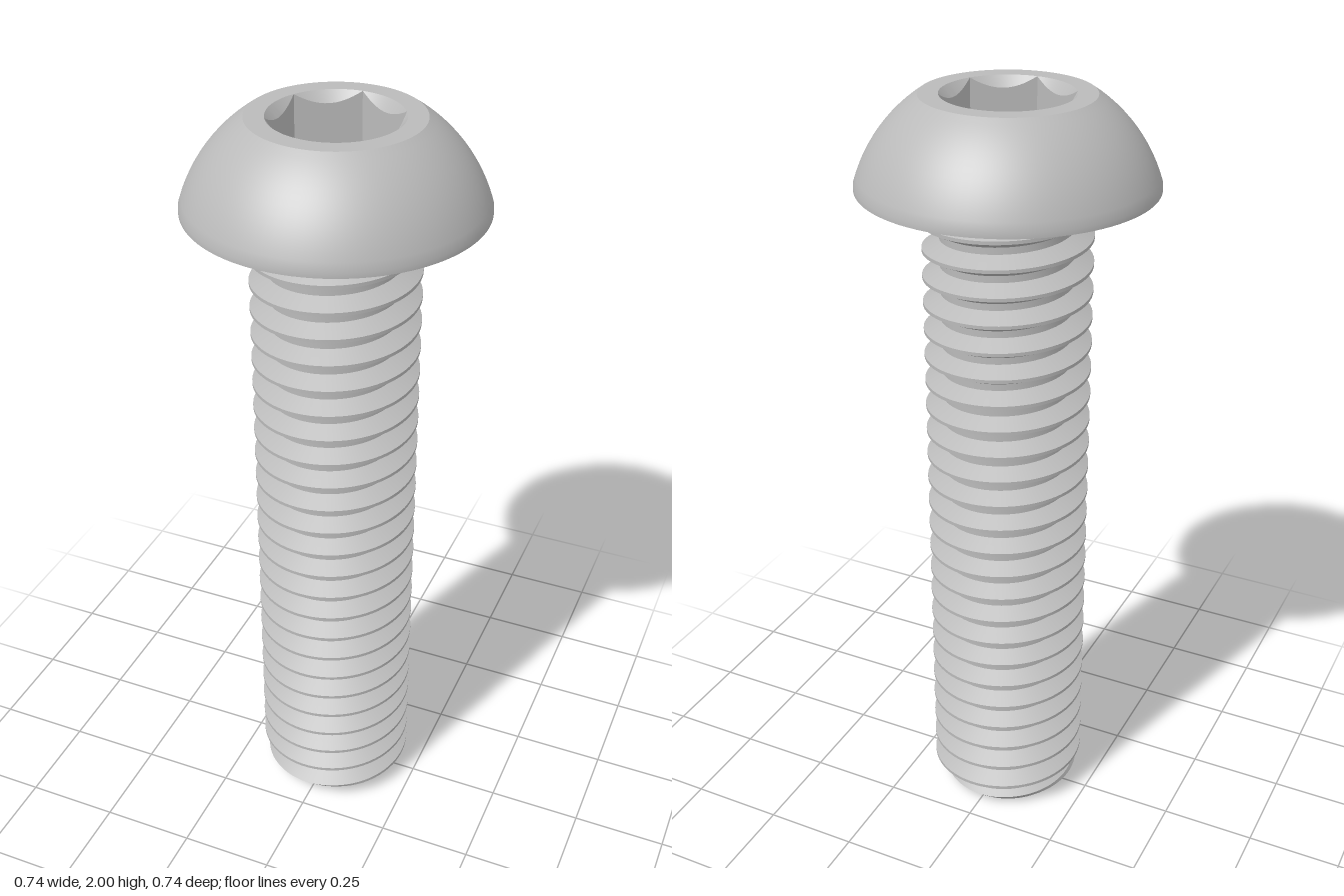
import * as THREE from 'three';
import { toCreasedNormals } from 'three/addons/utils/BufferGeometryUtils.js';

const HEAD_Y = 1.777, TOP_Y = 2;
const PITCH = 0.0707, CREST = 0.212, ROOT = 0.1685, TIP = 0.165;

// Rows of points swept round the y axis; point(row, angle) returns [radius, y]
function sweep(rows, cols, point) {
  const pos = [], index = [];
  for (let i = 0; i < rows; i++) {
    for (let j = 0; j <= cols; j++) {
      const a = (j / cols) * Math.PI * 2;
      const [r, y] = point(i, a);
      pos.push(r * Math.cos(a), y, -r * Math.sin(a));
      if (i < rows - 1 && j < cols) {
        const k = i * (cols + 1) + j, up = k + cols + 1;
        index.push(k, k + 1, up, k + 1, up + 1, up);
      }
    }
  }
  const g = new THREE.BufferGeometry();
  g.setAttribute('position', new THREE.Float32BufferAttribute(pos, 3));
  g.setIndex(index);
  return toCreasedNormals(g, 0.5);
}

// Domed head: flat underside, short rim, spherical dome and flat top ring
function headGeometry() {
  const pts = [new THREE.Vector2(0.15, HEAD_Y), new THREE.Vector2(0.37, HEAD_Y)];
  const cy = 1.676, R = 0.387;
  const a0 = Math.atan2(1.79 - cy, 0.37), a1 = Math.atan2(TOP_Y - cy, 0.212);
  for (let i = 0; i <= 12; i++) {
    const a = a0 + (a1 - a0) * (i / 12);
    pts.push(new THREE.Vector2(R * Math.cos(a), cy + R * Math.sin(a)));
  }
  pts.push(new THREE.Vector2(0.163, TOP_Y));
  return toCreasedNormals(new THREE.LatheGeometry(pts, 96), 0.5);
}

// Hexagonal socket with a conical lead-in; two corners lie on the z axis
function socketGeometry() {
  const outer = 0.163, flat = outer * Math.cos(Math.PI / 6), floorY = TOP_Y - 0.147;
  const hex = (a) => {
    const s = Math.PI / 3;
    return flat / Math.cos(a - Math.round(a / s) * s);
  };
  return sweep(4, 96, (i, a) => {
    const r = hex(a);
    if (i === 0) return [outer, TOP_Y];
    if (i === 1) return [r, TOP_Y - (outer - r) * 1.2];
    return i === 2 ? [r, floorY] : [0, floorY];
  });
}

// Right-hand helical thread, cut by a chamfer at the tip
function shankGeometry() {
  const steps = [0, 0.25, 0.40625, 0.5625, 0.6875, 0.84375];
  const turns = 29, phase = 0.23;
  const radius = (y, a) => {
    const t = y / PITCH - a / (Math.PI * 2) - phase;
    const f = t - Math.floor(t);
    const rise = Math.min((f - 0.25) / 0.3125, (1 - f) / 0.3125);
    const thread = ROOT + (CREST - ROOT) * THREE.MathUtils.clamp(rise, 0, 1);
    return Math.min(thread, TIP + y);
  };
  return sweep(turns * steps.length + 1, 72, (i, a) => {
    if (i === 0) return [0, 0];
    const k = i - 1, n = Math.floor(k / steps.length) - 2;
    const raw = PITCH * (n + steps[k % steps.length] + a / (Math.PI * 2) + phase);
    const y = THREE.MathUtils.clamp(raw, 0, HEAD_Y);
    return [radius(y, a), y];
  });
}

export function createModel() {
  const steel = new THREE.MeshStandardMaterial({ color: 0xbababa });
  steel.name = 'steel';
  const group = new THREE.Group();
  group.name = 'buttonHeadScrew';
  const add = (name, geometry) => {
    const mesh = new THREE.Mesh(geometry, steel);
    mesh.name = name;
    group.add(mesh);
  };
  add('head', headGeometry());
  add('hexSocket', socketGeometry());
  add('threadedShank', shankGeometry());
  return group;
}
